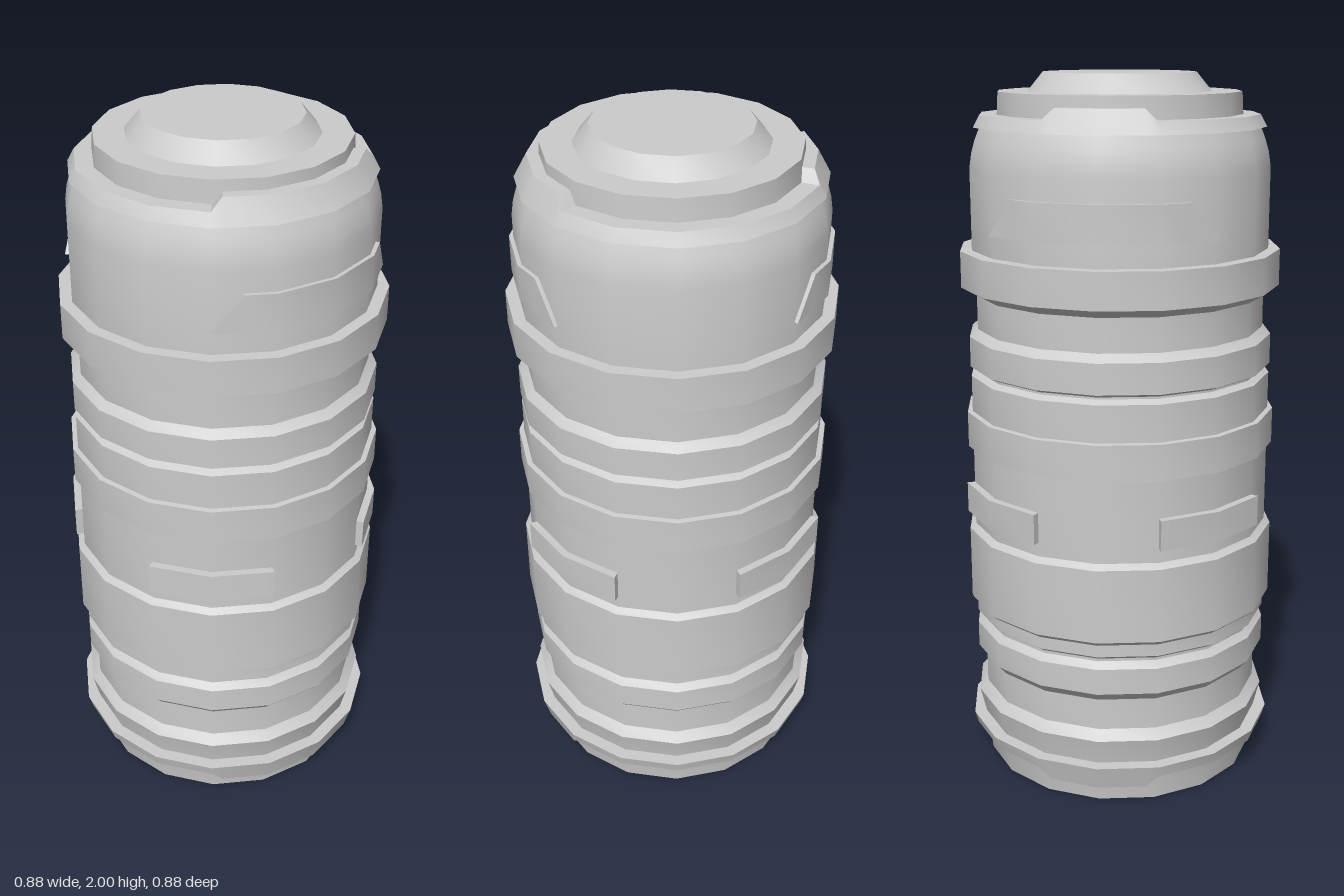
import * as THREE from 'three';
import { toCreasedNormals } from 'three/addons/utils/BufferGeometryUtils.js';

const SIDES = 16;
const STEP = 360 / SIDES;
const HALF = Math.PI / SIDES;
const material = new THREE.MeshStandardMaterial({ color: 0xcccccc, roughness: 0.7 });

function addMesh(parent, name, geometry) {
  const mesh = new THREE.Mesh(toCreasedNormals(geometry, 0.5), material);
  mesh.name = name;
  parent.add(mesh);
  return mesh;
}

// Turned part; each profile point is [distance to flat side, height].
function turned(profile) {
  const points = profile.map(([a, y]) => new THREE.Vector2(a / Math.cos(HALF), y));
  return new THREE.LatheGeometry(points, SIDES, HALF);
}

// Point on the sixteen-sided outline at an angle in degrees (0 = front, 90 = +x).
function outlinePoint(degrees, apothem, y) {
  const offset = degrees - Math.round(degrees / STEP) * STEP;
  const r = apothem / Math.cos(THREE.MathUtils.degToRad(offset));
  const phi = THREE.MathUtils.degToRad(degrees);
  return [r * Math.sin(phi), y, r * Math.cos(phi)];
}

// Curved plate: stations are [degrees, low y, high y], outer(y) gives its slope.
function plate(stations, inner, outer, closed = false) {
  const positions = [];
  const index = [];
  for (const [deg, low, high] of stations) {
    positions.push(
      ...outlinePoint(deg, inner, low), ...outlinePoint(deg, outer(low), low),
      ...outlinePoint(deg, outer(high), high), ...outlinePoint(deg, inner, high));
  }
  for (let i = 0; i < stations.length - 1; i++) {
    for (let k = 0; k < 4; k++) {
      const a = i * 4 + k, d = i * 4 + (k + 1) % 4;
      index.push(a, a + 4, d, a + 4, d + 4, d);
    }
  }
  if (!closed) {
    const e = (stations.length - 1) * 4;
    index.push(0, 1, 2, 0, 2, 3, e, e + 2, e + 1, e, e + 3, e + 2);
  }
  const geometry = new THREE.BufferGeometry();
  geometry.setAttribute('position', new THREE.Float32BufferAttribute(positions, 3));
  geometry.setIndex(index);
  return geometry;
}

// Stations of a full band that is deeper over a wide front and a narrow back sector.
const SECTORS = [[-33.75, 56.25], [168.75, 213.75]];
function steppedStations(normal, stepped) {
  const ramp = 4;
  const angles = new Set();
  for (let k = 0; k <= SIDES; k++) angles.add(-56.25 + k * STEP);
  for (const [from, to] of SECTORS) {
    angles.add(from + ramp);
    angles.add(to - ramp);
  }
  return [...angles].sort((a, b) => a - b).map((deg) => {
    const inside = SECTORS.some(([from, to]) => deg > from && deg < to);
    return [deg, ...(inside ? stepped : normal)];
  });
}

export function createModel() {
  const model = new THREE.Group();
  model.name = 'ribbedCanister';

  // Main body with recessed base, ribs, grooves and rounded shoulder
  addMesh(model, 'body', turned([
    [0, 0.05], [0.275, 0.05], [0.31, 0], [0.39, 0], [0.405, 0.12],
    [0.424, 0.2], [0.4, 0.227], [0.4, 0.318], [0.423, 0.345], [0.423, 0.42],
    [0.405, 0.438], [0.405, 0.446], [0.422, 0.458], [0.422, 0.493],
    [0.438, 0.507], [0.438, 0.718], [0.421, 0.732], [0.421, 0.965],
    [0.435, 0.967], [0.435, 1.068], [0.421, 1.07], [0.421, 1.173],
    [0.402, 1.184], [0.402, 1.19], [0.423, 1.2], [0.423, 1.285], [0.4, 1.306],
    [0.4, 1.4], [0.442, 1.425], [0.442, 1.526], [0.41, 1.527], [0.41, 1.75],
    [0.404, 1.79], [0.394, 1.825], [0.38, 1.86], [0, 1.86],
  ]));

  // Lid disc and tapered cap
  addMesh(model, 'lidDisc', turned([[0.335, 1.86], [0.33, 1.95], [0, 1.95]]));
  addMesh(model, 'cap', turned([[0.25, 1.949], [0.208, 2], [0, 2]]));

  // Stepped bands round the base and the lid
  addMesh(model, 'baseBand', plate(
    steppedStations([0.09, 0.125], [0.055, 0.125]), 0.375,
    (y) => 0.442 - (0.125 - y) * 0.28, true));
  addMesh(model, 'lidBand', plate(
    steppedStations([1.857, 1.89], [1.857, 1.92]), 0.32,
    (y) => 0.398 - (y - 1.857) * 0.55, true));

  // Sloped-end plates on the shoulder, front and back
  for (const turn of [0, 180]) {
    const stations = [-33.75, -22.5, -11.25, 11.25, 33.75, 45, 56.25]
      .map((deg, i) => [deg + turn, 1.588, i % 6 === 0 ? 1.589 : 1.69]);
    addMesh(model, 'shoulderPlate', plate(stations, 0.39, () => 0.421));
  }

  // Four grip blocks round the middle
  for (let k = 0; k < 4; k++) {
    const stations = [-56.25, -33.75, -11.25].map((deg) => [deg + k * 90, 0.772, 0.858]);
    addMesh(model, 'gripBlock', plate(stations, 0.4, () => 0.442));
  }
  return model;
}
